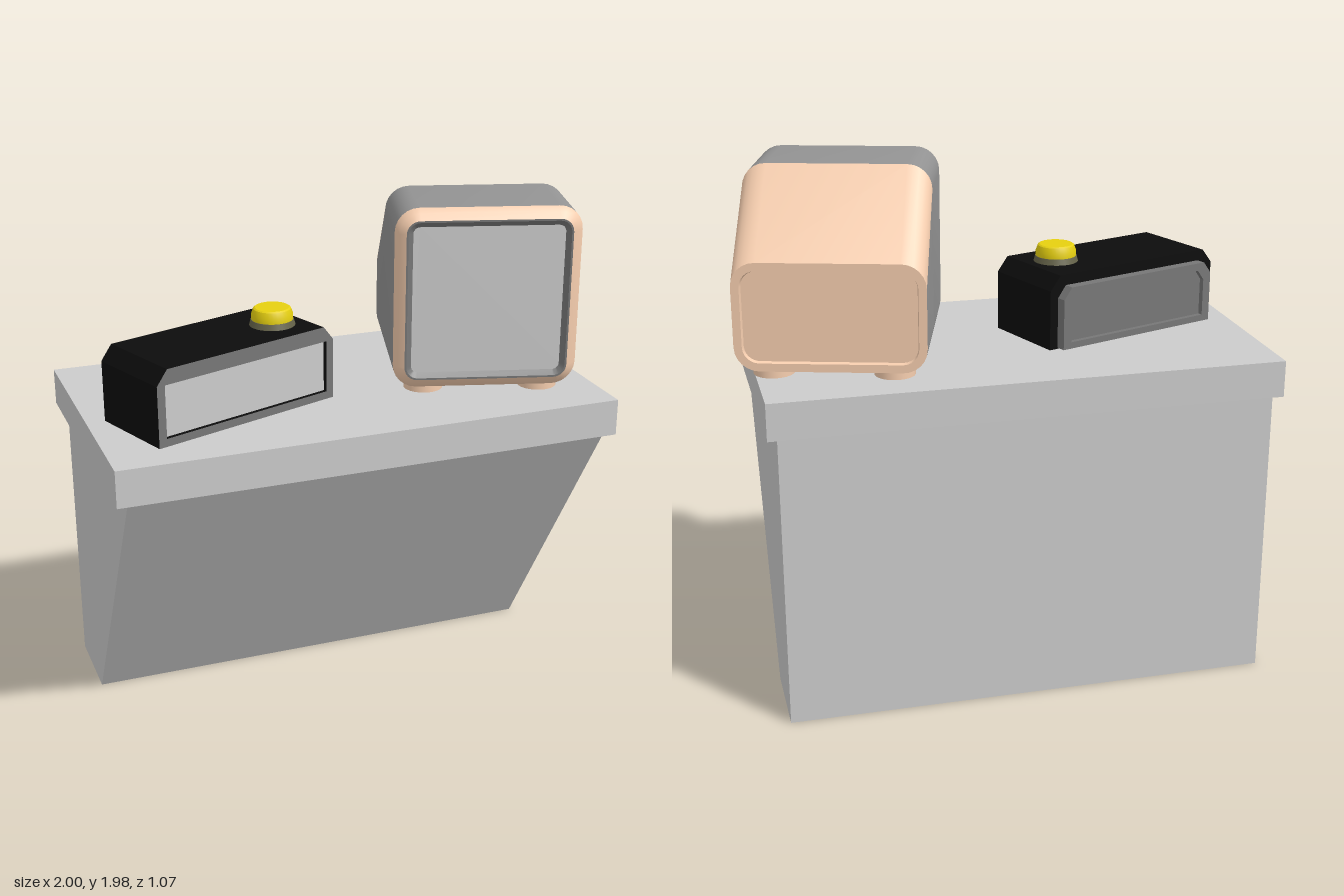
import * as THREE from 'three';
import { toCreasedNormals } from 'three/addons/utils/BufferGeometryUtils.js';

const mat = (color) => new THREE.MeshStandardMaterial({ color });
const grey = mat(0xcccccc), shellGrey = mat(0x939393), darkGrey = mat(0x777777);
const peach = mat(0xf5cdae), black = mat(0x0c0c0c), yellow = mat(0xe6d010), olive = mat(0x66644a);

function add(parent, name, geometry, material, x = 0, y = 0, z = 0) {
  const mesh = new THREE.Mesh(geometry, material);
  mesh.name = name;
  mesh.position.set(x, y, z);
  parent.add(mesh);
  return mesh;
}

const poly = (pts) => new THREE.Shape(pts.map(([x, y]) => new THREE.Vector2(x, y)));
const extrude = (shape, depth) => new THREE.ExtrudeGeometry(shape, { depth, bevelEnabled: false });

// Rectangle with its two top corners cut off
const cutRect = (w, y0, y1, cx, cy) =>
  [[-w, y0], [w, y0], [w, y1 - cy], [w - cx, y1], [-w + cx, y1], [-w, y1 - cy]];

// Rounded rectangle cross-section, counterclockwise seen from +z
const SEG = 6, PER = SEG + 1, COUNT = PER * 4;
function section(w, y0, y1, r, z) {
  const pts = [];
  const centres = [[w - r, y0 + r], [w - r, y1 - r], [-w + r, y1 - r], [-w + r, y0 + r]];
  centres.forEach(([cx, cy], c) => {
    for (let k = 0; k <= SEG; k++) {
      const a = (c - 1 + k / SEG) * Math.PI / 2;
      pts.push([cx + r * Math.cos(a), cy + r * Math.sin(a), z]);
    }
  });
  return pts;
}

// Skin through sections listed from inside-back to front, over a range of points
function loft(sections, from = 0, to = COUNT) {
  const pos = [];
  for (let s = 0; s + 1 < sections.length; s++) {
    const a = sections[s], b = sections[s + 1];
    for (let i = from; i < to; i++) {
      const p = i % COUNT, q = (i + 1) % COUNT;
      pos.push(...a[p], ...a[q], ...b[q], ...a[p], ...b[q], ...b[p]);
    }
  }
  const g = new THREE.BufferGeometry();
  g.setAttribute('position', new THREE.Float32BufferAttribute(pos, 3));
  return toCreasedNormals(g, 0.5);
}

// Flat panel filling a section
function panel(sec, back = false) {
  const g = new THREE.ShapeGeometry(poly(sec));
  if (back) g.rotateY(Math.PI);
  return g.translate(0, 0, sec[0][2]);
}

function makeDesk() {
  const desk = new THREE.Group();
  desk.name = 'desk';
  add(desk, 'deskTop', new THREE.BoxGeometry(1.925, 0.14, 1.07), grey, -0.0375, 1.19, 0);
  // Side profile (z mirrored into x), extruded across the width
  const side = poly([[0.535, 0], [0.535, 1.12], [-0.505, 1.12], [0.2, 0]]);
  const base = extrude(side, 1.845).rotateY(Math.PI / 2).translate(-0.955, 0, 0);
  add(desk, 'deskBase', base, grey);
  return desk;
}

function makeConsole() {
  const box = new THREE.Group();
  box.name = 'buttonBox';
  const outline = cutRect(0.395, 0, 0.285, 0.045, 0.055);
  add(box, 'boxBody', extrude(poly(outline), 0.33), black, 0, 0, -0.175);

  // Front frame around the recessed window
  const frame = poly(outline);
  frame.holes.push(poly([[-0.362, 0.03], [-0.362, 0.228], [0.362, 0.228], [0.362, 0.03]]));
  add(box, 'boxFrontFrame', extrude(frame, 0.02), [darkGrey, black], 0, 0, 0.155);
  add(box, 'boxWindow', new THREE.BoxGeometry(0.724, 0.198, 0.004), grey, 0, 0.129, 0.157);

  // Rear frame and its sunken cover
  const rear = poly(cutRect(0.36, 0.005, 0.245, 0.035, 0.045));
  const inner = cutRect(0.325, 0.03, 0.215, 0.03, 0.04);
  rear.holes.push(poly(inner));
  add(box, 'rearFrame', extrude(rear, 0.04), darkGrey, 0, 0, -0.215);
  add(box, 'rearCover', extrude(poly(inner), 0.02), darkGrey, 0, 0, -0.195);

  // Push button on its collar
  add(box, 'buttonCollar', new THREE.CylinderGeometry(0.08, 0.086, 0.022, 32), olive, 0.23, 0.296, 0.02);
  const cap = [[0.078, 0], [0.078, 0.022], [0.07, 0.043], [0.064, 0.047], [0, 0.047]];
  const capGeo = new THREE.LatheGeometry(cap.map(([x, y]) => new THREE.Vector2(x, y)), 32);
  add(box, 'button', toCreasedNormals(capGeo, 0.5), yellow, 0.23, 0.305, 0.02);

  box.position.set(-0.498, 1.26, 0.1);
  box.rotation.y = THREE.MathUtils.degToRad(20);
  return box;
}

function makeMonitor() {
  const monitor = new THREE.Group();
  monitor.name = 'monitor';
  const W = 0.3465, Y0 = 0.03, TOP = 0.72, LOW = 0.43, R = 0.09;
  const inset = (d, top, z) => section(W - d, Y0 + d, top - d, Math.max(R - d, 0.025), z);

  const back = inset(0, LOW, -0.326);
  const shoulder = inset(0, TOP, -0.018);
  const front = inset(0, TOP, 0.326);

  // Shell: straight front half, then a sloping rear roof in the accent colour
  add(monitor, 'shellFront', loft([shoulder, front]), shellGrey);
  add(monitor, 'shellRearSides', loft([back, shoulder], 3 * PER - 1, COUNT + PER), shellGrey);
  add(monitor, 'rearRoof', loft([back, shoulder], PER, 3 * PER - 1), peach);

  // Rear frame with a sunken panel
  const rearLip = inset(0.03, LOW, -0.326), rearFloor = inset(0.034, LOW, -0.31);
  add(monitor, 'rearFrame', loft([rearFloor, rearLip, back]), peach);
  add(monitor, 'rearPanel', panel(rearFloor, true), peach);

  // Front bezel, inner ring and screen
  const rim = inset(0.04, TOP, 0.366);
  const ring = inset(0.047, TOP, 0.366);
  const glass = inset(0.066, TOP, 0.35);
  add(monitor, 'bezel', loft([front, inset(0.016, TOP, 0.35), rim]), peach);
  add(monitor, 'screenRing', loft([rim, ring, glass]), darkGrey);
  add(monitor, 'screen', panel(glass), grey);

  // Feet
  for (const x of [-0.22, 0.22]) {
    for (const z of [-0.24, 0.24]) {
      add(monitor, 'foot', new THREE.CylinderGeometry(0.075, 0.075, 0.04, 24), peach, x, 0.02, z);
    }
  }

  monitor.position.set(0.575, 1.26, -0.03);
  monitor.rotation.y = THREE.MathUtils.degToRad(-16.3);
  return monitor;
}

export function createModel() {
  const model = new THREE.Group();
  model.name = 'deskWithMonitor';
  model.add(makeDesk(), makeConsole(), makeMonitor());
  return model;
}
